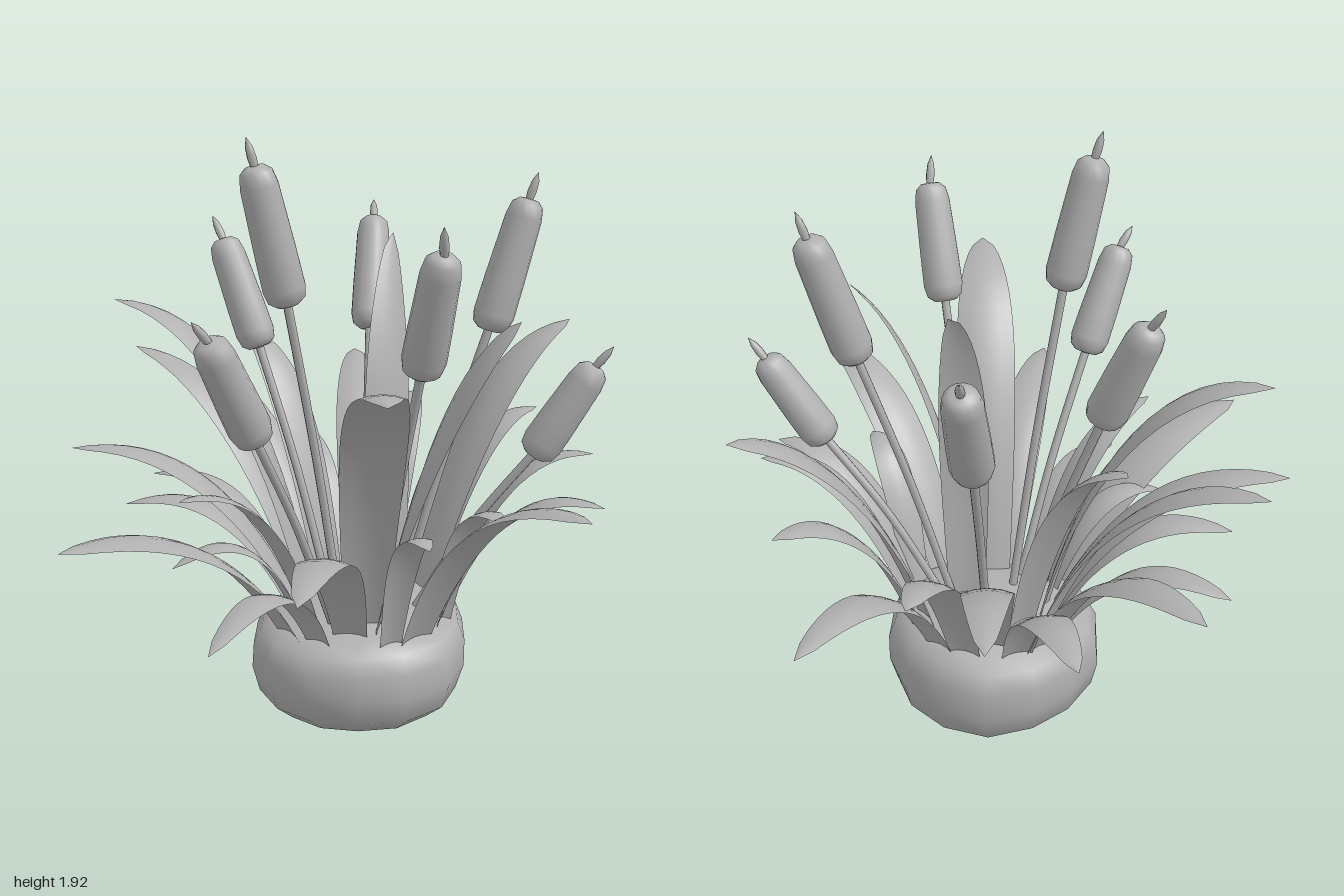
import * as THREE from 'three';
import { mergeVertices } from 'three/addons/utils/BufferGeometryUtils.js';

const grey = new THREE.MeshStandardMaterial({ color: 0xb0b0b0, side: THREE.DoubleSide });
grey.name = 'plain grey';
const V = (x, y, z) => new THREE.Vector3(x, y, z);
const CENTRE = V(0.02, 0, -0.1);

function mesh(geometry, name) {
  const m = new THREE.Mesh(geometry, grey);
  m.name = name;
  return m;
}

// Rounded, slightly lopsided clump of earth, higher at the back
function makeClump() {
  const profile = [[0, 0], [0.15, 0.005], [0.28, 0.025], [0.338, 0.08], [0.36, 0.17], [0.356, 0.265],
    [0.33, 0.325], [0.275, 0.36], [0.15, 0.385], [0, 0.4]].map(([r, y]) => new THREE.Vector2(r, y));
  let geo = new THREE.LatheGeometry(profile, 14);
  geo.deleteAttribute('uv');
  geo.deleteAttribute('normal');
  geo = mergeVertices(geo, 1e-4);
  const p = geo.attributes.position;
  for (let i = 0; i < p.count; i++) {
    const x = p.getX(i), y = p.getY(i), z = p.getZ(i);
    const a = Math.atan2(z, x);
    const k = 1 + 0.02 * Math.sin(3 * a + 1 + y * 6) + 0.015 * Math.cos(5 * a);
    const tilt = Math.max(0, 0.3 - y) * (0.16 * x + 0.02) - Math.max(0, y - 0.2) * 0.35 * z;
    p.setXYZ(i, x * k, y + tilt, z * k * 1.02);
  }
  geo.computeVertexNormals();
  geo.computeBoundingBox();
  geo.translate(0.01, -geo.boundingBox.min.y, -0.1);
  return mesh(geo, 'earthClump');
}

// Arching blade: tip, bend height, full width, foot (radius from the centre, or [x, z]),
// how far out the bend lies, sideways twist, and sideways shift of the bend
function makeLeaf([x, y, z, bend, width, foot = 0.265, frac = 0.36, twist = 0, sway = 0]) {
  const tip = V(x, y, z);
  const root = Array.isArray(foot) ? V(foot[0], 0.33, foot[1])
    : CENTRE.clone().addScaledVector(V(x, 0, z).sub(CENTRE).normalize(), foot).setY(0.33);
  const out = tip.clone().sub(root).setY(0).normalize();
  const flat = V(out.z, 0, -out.x);
  const mid = root.clone().lerp(tip, frac).setY(bend).addScaledVector(flat, sway);
  const curve = new THREE.QuadraticBezierCurve3(root, mid, tip);
  const rows = 16, cols = 4, pos = [], index = [];
  for (let i = 0; i <= rows; i++) {
    const t = i / rows;
    const c = curve.getPoint(t), tan = curve.getTangent(t);
    const side = flat.clone().applyAxisAngle(tan, twist * Math.sqrt(t));
    const up = new THREE.Vector3().crossVectors(tan, side).normalize();
    // narrow foot, widest past the middle, pointed end
    const swell = 0.66 + 0.34 * Math.sin(Math.PI * Math.min(1, t * 0.95));
    const w = width * swell * Math.sqrt(Math.max(0, 1 - Math.pow(t, 3.8))) * 0.53 + 0.001;
    for (let j = 0; j <= cols; j++) {
      const s = (j / cols) * 2 - 1;
      const q = c.clone().addScaledVector(side, s * w).addScaledVector(up, -s * s * w * 0.2);
      pos.push(q.x, q.y, q.z);
      if (i < rows && j < cols) {
        const a = i * (cols + 1) + j, b = a + cols + 1;
        index.push(a, a + 1, b, a + 1, b + 1, b);
      }
    }
  }
  const geo = new THREE.BufferGeometry();
  geo.setAttribute('position', new THREE.Float32BufferAttribute(pos, 3));
  geo.setIndex(index);
  geo.computeVertexNormals();
  return mesh(geo, 'leaf');
}

// Seed head on a bowed stem, ending in a small spike
function makeReed([bottom, top, tip]) {
  const b = V(...bottom), t = V(...top), s = V(...tip);
  const reed = new THREE.Group();
  reed.name = 'reed';

  const foot = V(CENTRE.x + (b.x - CENTRE.x) * 0.3, 0.34, CENTRE.z + (b.z - CENTRE.z) * 0.3);
  const bow = foot.clone().lerp(b, 0.5).add(V(0, 0.04, 0));
  const stem = new THREE.CatmullRomCurve3([foot, bow, b.clone().lerp(t, 0.1)]);
  reed.add(mesh(new THREE.TubeGeometry(stem, 10, 0.014, 8), 'stem'));

  const axis = t.clone().sub(b), len = axis.length();
  const turn = new THREE.Quaternion().setFromUnitVectors(V(0, 1, 0), axis.normalize());
  const profile = [[0, 0], [0.037, 0.004], [0.057, 0.02], [0.065, 0.055], [0.063, len * 0.4],
    [0.057, len - 0.06], [0.049, len - 0.02], [0.03, len - 0.003], [0, len]]
    .map(([r, y]) => new THREE.Vector2(r, y));
  const head = mesh(new THREE.LatheGeometry(profile, 16), 'seedHead');
  head.position.copy(b);
  head.quaternion.copy(turn);
  reed.add(head);

  const dir = s.clone().sub(t), h = dir.length() + 0.01;
  const spikeProfile = [[0.011, 0], [0.014, h * 0.35], [0.011, h * 0.7], [0, h]]
    .map(([r, y]) => new THREE.Vector2(r, y));
  const spike = mesh(new THREE.LatheGeometry(spikeProfile, 8), 'spike');
  spike.position.copy(t).addScaledVector(dir.normalize(), -0.01);
  spike.quaternion.setFromUnitVectors(V(0, 1, 0), dir);
  reed.add(spike);
  return reed;
}

// Seed heads: bottom, top and spike end
const REEDS = [
  [[0.06, 1.43, 0.215], [0.035, 1.84, 0.31], [0.025, 1.92, 0.33]],
  [[0.25, 1.30, -0.42], [0.295, 1.71, -0.53], [0.31, 1.79, -0.55]],
  [[0.465, 1.275, 0.045], [0.595, 1.64, 0.085], [0.62, 1.72, 0.11]],
  [[-0.34, 1.20, -0.41], [-0.48, 1.565, -0.54], [-0.52, 1.62, -0.57]],
  [[-0.34, 1.20, 0.05], [-0.475, 1.55, 0.10], [-0.52, 1.62, 0.11]],
  [[0.185, 1.08, 0.42], [0.23, 1.41, 0.60], [0.23, 1.47, 0.65]],
  [[0.44, 0.93, -0.45], [0.56, 1.225, -0.58], [0.60, 1.29, -0.61]],
];

// Blades, listed by compass direction
const LOW_LEAVES = [
  [1.0, 0.96, -0.1, 1.0, 0.17], [0.7, 0.82, -0.5, 0.92, 0.13], [0.5, 0.91, -0.66, 0.98, 0.12],
  [0.06, 0.93, -0.85, 1.0, 0.13], [-0.26, 0.76, -0.97, 0.92, 0.14], [-0.42, 0.91, -0.7, 0.96, 0.14],
  [-0.78, 1.0, -0.69, 1.06, 0.15, 0.22], [-0.77, 0.76, -0.37, 0.86, 0.14], [-1.0, 0.96, -0.13, 1.0, 0.15],
  [-0.74, 0.69, 0.25, 0.82, 0.12], [-0.59, 0.9, 0.63, 0.98, 0.15, 0.2], [-0.5, 0.7, 0.49, 0.84, 0.13, 0.22],
  [-0.02, 0.8, 0.96, 0.86, 0.19, 0.28], [0.33, 0.54, 0.69, 0.76, 0.12], [0.69, 0.81, 0.64, 0.93, 0.15, 0.2],
  [0.58, 0.8, -0.2, 0.9, 0.11, [0.24, -0.25]], [0.56, 0.78, 0.08, 0.87, 0.1],
];
const TALL_LEAVES = [
  [0.13, 1.25, -0.92, 1.2, 0.18, 0.22], [-0.86, 1.13, 0.23, 1.12, 0.15, 0.2],
  [-0.68, 1.35, 0.4, 1.36, 0.16, 0.17, 0.3], [0.75, 1.31, 0.4, 1.38, 0.19, 0.15, 0.33],
  [0.54, 1.4, -0.27, 1.2, 0.14, [0.18, -0.03], 0.45, 0.7, -0.1], [-0.61, 1.2, -0.08, 1.15, 0.15, 0.15],
  [-0.1, 0.62, 0.55, 0.8, 0.1, 0.22], [0.06, 0.9, 0.61, 0.94, 0.11, 0.2],
  [-0.13, 1.57, -0.34, 1.2, 0.16, [0.08, -0.16], -0.15, 0.79],
];

export function createModel() {
  const plant = new THREE.Group();
  plant.name = 'reedPlant';
  plant.add(makeClump());

  const leaves = new THREE.Group();
  leaves.name = 'leaves';
  [...LOW_LEAVES, ...TALL_LEAVES].forEach((l) => leaves.add(makeLeaf(l)));

  const reeds = new THREE.Group();
  reeds.name = 'reeds';
  REEDS.forEach((r) => reeds.add(makeReed(r)));

  plant.add(leaves, reeds);
  return plant;
}
